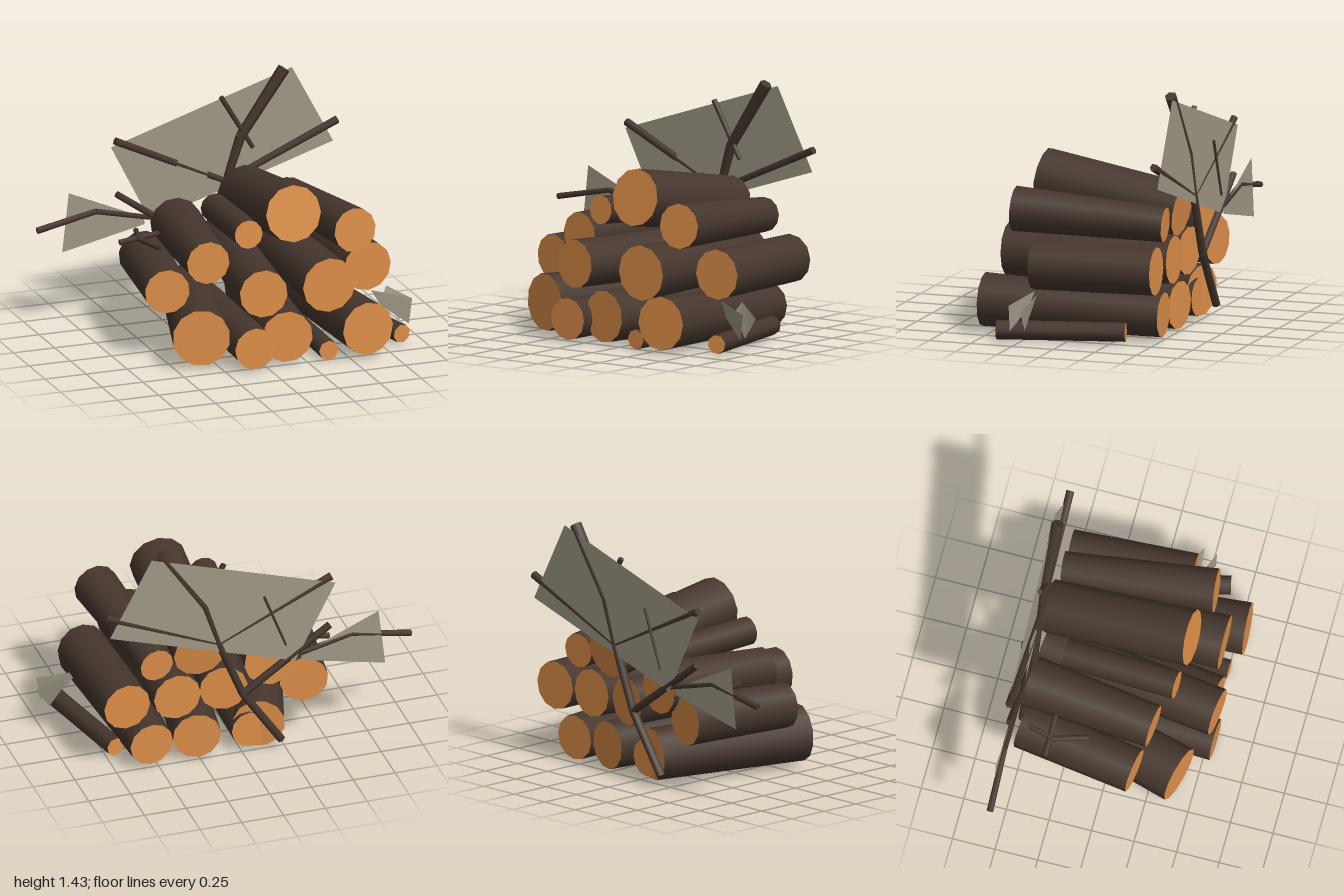
import * as THREE from 'three';

const bark = new THREE.MeshStandardMaterial({ color: 0x46372e });
bark.name = 'bark';
const wood = new THREE.MeshStandardMaterial({ color: 0xdd8e48 });
wood.name = 'cutWood';
const leaf = new THREE.MeshStandardMaterial({ color: 0x9e9885, side: THREE.DoubleSide });
leaf.name = 'dryLeaf';

// Tapered cylinder from point a to point b, with chosen end material
function rod(name, a, b, ra, rb, sides, endMaterial) {
  const from = new THREE.Vector3(...a), to = new THREE.Vector3(...b);
  const dir = to.clone().sub(from);
  const mesh = new THREE.Mesh(
    new THREE.CylinderGeometry(rb, ra, dir.length(), sides),
    [bark, endMaterial, endMaterial]
  );
  mesh.position.copy(from).add(to).multiplyScalar(0.5);
  mesh.quaternion.setFromUnitVectors(new THREE.Vector3(0, 1, 0), dir.normalize());
  mesh.name = name;
  return mesh;
}

// Chain of rods through points, thinning from r0 to r1
function branch(name, points, r0, r1) {
  const group = new THREE.Group();
  group.name = name;
  const n = points.length - 1;
  for (let i = 0; i < n; i++) {
    const ra = r0 + (r1 - r0) * i / n, rb = r0 + (r1 - r0) * (i + 1) / n;
    group.add(rod(name + 'Segment', points[i], points[i + 1], ra, rb, 6, bark));
  }
  return group;
}

// Flat four-cornered leaf
function leafCard(name, corners) {
  const g = new THREE.BufferGeometry();
  g.setAttribute('position', new THREE.Float32BufferAttribute(corners.flat(), 3));
  g.setIndex([0, 1, 2, 0, 2, 3]);
  g.computeVertexNormals();
  const mesh = new THREE.Mesh(g, leaf);
  mesh.name = name;
  return mesh;
}

export function createModel() {
  const model = new THREE.Group();
  model.name = 'logPile';

  // Logs: front centre, back centre, front radius, back radius
  const logs = [
    // bottom row
    [[-0.36, 0.19, 0.41], [-0.10, 0.17, -0.50], 0.165, 0.15],
    [[-0.085, 0.137, 0.55], [-0.05, 0.14, -0.50], 0.122, 0.11],
    [[0.13, 0.165, 0.49], [0.27, 0.155, -0.50], 0.15, 0.14],
    [[0.595, 0.18, 0.56], [0.54, 0.15, -0.50], 0.155, 0.13],
    // middle row
    [[-0.48, 0.41, 0.18], [-0.37, 0.41, -0.50], 0.13, 0.14],
    [[-0.035, 0.46, 0.55], [0.11, 0.44, -0.50], 0.14, 0.14],
    [[0.39, 0.44, 0.48], [0.39, 0.44, -0.51], 0.16, 0.14],
    [[0.725, 0.43, 0.21], [0.69, 0.43, -0.51], 0.145, 0.14],
    // upper rows
    [[-0.25, 0.57, 0.23], [-0.165, 0.57, -0.51], 0.125, 0.15],
    [[-0.035, 0.74, 0.31], [0.01, 0.69, -0.35], 0.083, 0.083],
    [[0.23, 0.84, 0.33], [0.255, 0.705, -0.51], 0.165, 0.155],
    [[0.585, 0.715, 0.38], [0.51, 0.665, -0.50], 0.13, 0.10],
  ];
  for (const [a, b, ra, rb] of logs) model.add(rod('log', a, b, ra, rb, 12, wood));

  // Thin sticks on the ground
  model.add(rod('stick', [0.375, 0.06, 0.51], [0.40, 0.06, -0.30], 0.058, 0.05, 8, wood));
  model.add(rod('stick', [0.865, 0.065, 0.39], [0.70, 0.068, -0.33], 0.055, 0.055, 8, wood));

  // Forked branch leaning on the back of the pile
  const z = -0.545;
  const lower = [0.01, 0.41, z], upper = [0.155, 0.77, z];
  model.add(branch('branchStem', [[-0.22, 0.07, z], lower, upper], 0.026, 0.024));
  model.add(branch('topFork', [upper, [0.24, 1.03, -0.54], [0.5, 1.41, -0.53]], 0.022, 0.036));
  model.add(branch('leftFork', [upper, [-0.52, 1.09, z]], 0.018, 0.023));
  model.add(branch('rightFork', [upper, [0.83, 1.06, z]], 0.018, 0.023));
  model.add(branch('lowerFork', [lower, [-0.51, 0.77, z]], 0.023, 0.021));
  model.add(branch('farTwig', [[-0.27, 0.60, z], [-0.64, 0.685, -0.54], [-1, 0.615, -0.53]], 0.014, 0.019));
  model.add(branch('thinTwig', [[0.31, 0.96, -0.53], [0.12, 1.28, -0.535]], 0.014, 0.016));
  model.add(branch('thinTwig', [[-0.24, 0.70, -0.57], [-0.11, 1.04, -0.57]], 0.007, 0.009));

  // Small twig resting on the left logs
  model.add(branch('looseTwig', [[-0.43, 0.575, -0.45], [-0.47, 0.575, -0.30], [-0.41, 0.57, -0.11]], 0.017, 0.015));
  model.add(branch('looseTwig', [[-0.58, 0.56, -0.32], [-0.34, 0.59, -0.32]], 0.017, 0.015));

  // Leaves
  model.add(leafCard('largeLeaf', [[-0.54, 1.05, -0.56], [-0.3, 0.58, -0.56], [0.81, 0.93, -0.56], [0.56, 1.40, -0.56]]));
  model.add(leafCard('leftLeaf', [[-0.80, 0.81, -0.55], [-0.84, 0.46, -0.55], [-0.34, 0.57, -0.55], [-0.34, 0.61, -0.55]]));
  model.add(leafCard('narrowLeaf', [[-0.11, 1.05, -0.53], [-0.22, 0.68, -0.53], [0.04, 0.82, -0.53], [0.01, 0.96, -0.53]]));
  model.add(leafCard('sideLeaf', [[0.75, 0.28, 0.20], [0.80, 0.19, 0.22], [0.95, 0.08, 0.28], [0.97, 0.23, 0.28]]));
  model.add(leafCard('sideLeaf', [[0.86, 0.28, 0.15], [0.83, 0.22, 0.18], [0.92, 0.08, 0.20], [1.0, 0.20, 0.20]]));
  return model;
}
